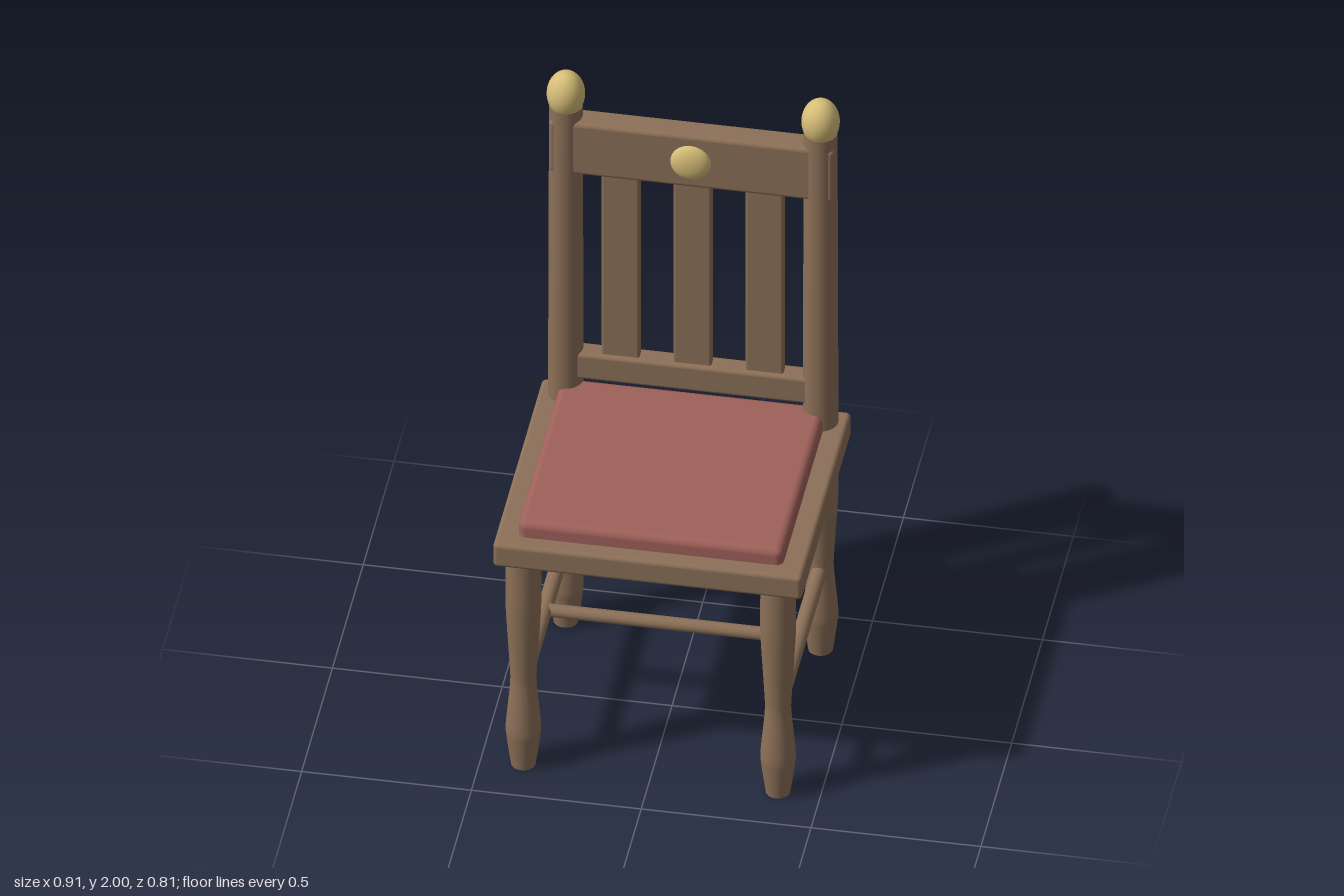
import * as THREE from 'three';
import { RoundedBoxGeometry } from 'three/addons/geometries/RoundedBoxGeometry.js';

export function createModel() {
  const chair = new THREE.Group();
  chair.name = 'chair';

  const material = (name, color) => {
    const m = new THREE.MeshStandardMaterial({ color });
    m.name = name;
    return m;
  };
  const wood = material('brown wood', 0x8c7058);
  const fabric = material('red fabric', 0x9f605a);
  const brass = material('pale brass', 0xd6be78);

  const add = (name, geometry, mat, x, y, z) => {
    const mesh = new THREE.Mesh(geometry, mat);
    mesh.name = name;
    mesh.position.set(x, y, z);
    chair.add(mesh);
    return mesh;
  };
  const box = (name, mat, w, h, d, r, x, y, z) =>
    add(name, new RoundedBoxGeometry(w, h, d, 4, r), mat, x, y, z);
  const ball = (name, rx, ry, rz, x, y, z) =>
    add(name, new THREE.SphereGeometry(1, 32, 20), brass, x, y, z).scale.set(rx, ry, rz);

  const legX = 0.375, legZ = 0.345;

  // Seat board and cushion
  box('seat', wood, 0.91, 0.083, 0.81, 0.014, 0, 0.79, 0);
  box('cushion', fabric, 0.78, 0.09, 0.71, 0.024, 0, 0.84, 0);

  // Turned legs: a vase foot, a narrow waist and a fuller top
  const outline = new THREE.SplineCurve([
    [0.036, 0], [0.049, 0.1], [0.051, 0.15], [0.039, 0.29],
    [0.04, 0.36], [0.051, 0.56], [0.052, 0.66], [0.051, 0.77],
  ].map(([r, y]) => new THREE.Vector2(r, y))).getPoints(32);
  const legGeometry = new THREE.LatheGeometry([new THREE.Vector2(0, 0), outline[0].clone(), ...outline], 32);

  for (const side of [-1, 1]) {
    const label = side > 0 ? 'left' : 'right';
    add(label + 'FrontLeg', legGeometry, wood, side * legX, 0, legZ);
    add(label + 'BackLeg', legGeometry, wood, side * legX, 0, -legZ);

    // Back post with its finial
    add(label + 'BackPost', new THREE.CylinderGeometry(0.049, 0.052, 1.115, 32), wood, side * legX, 1.3275, -legZ);
    ball(label + 'Finial', 0.056, 0.075, 0.056, side * legX, 1.925, -legZ);

    // Side stretcher
    add(label + 'Stretcher', new THREE.CylinderGeometry(0.023, 0.023, 0.63, 20), wood, side * legX, 0.3, 0)
      .rotation.x = Math.PI / 2;
  }

  // Cross stretcher joining the side stretchers
  add('crossStretcher', new THREE.CylinderGeometry(0.02, 0.02, 0.75, 20), wood, 0, 0.3, 0)
    .rotation.z = Math.PI / 2;

  // Backrest: rails, slats and round ornament
  box('topRail', wood, 0.84, 0.187, 0.08, 0.014, 0, 1.753, -legZ);
  box('lowerRail', wood, 0.77, 0.092, 0.064, 0.012, 0, 0.955, -legZ);
  for (const x of [-0.212, 0, 0.212]) {
    box('backSlat', wood, 0.112, 0.72, 0.035, 0.008, x, 1.33, -legZ);
  }
  ball('ornament', 0.06, 0.06, 0.027, 0, 1.753, -0.305);

  return chair;
}
